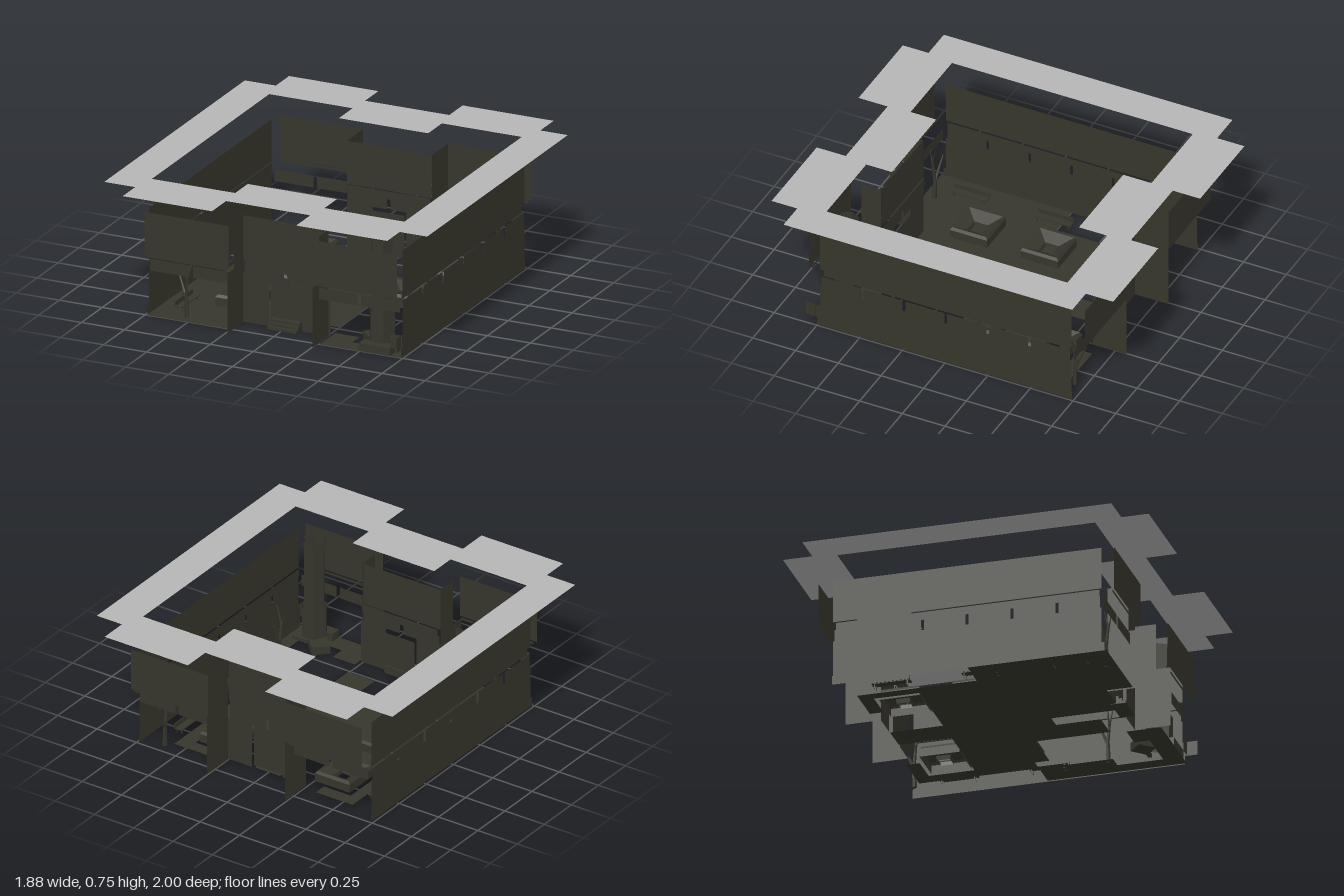
import * as THREE from 'three';

export function createModel() {
  const root = new THREE.Group();
  root.name = 'courtyardBuilding';
  const wallMat = new THREE.MeshStandardMaterial({ color: 0x37362c, side: THREE.DoubleSide, flatShading: true });
  wallMat.name = 'darkTimber';
  const roofMat = new THREE.MeshStandardMaterial({ color: 0xb6b6b6, side: THREE.DoubleSide });
  roofMat.name = 'paleRoof';

  const add = (name, geo, mat = wallMat, parent = root) => {
    const m = new THREE.Mesh(geo, mat);
    m.name = name;
    parent.add(m);
    return m;
  };
  // Thin sheets: facing z, facing x, and lying flat
  const sheetZ = (name, x0, x1, y0, y1, z) => {
    const m = add(name, new THREE.PlaneGeometry(x1 - x0, y1 - y0));
    m.position.set((x0 + x1) / 2, (y0 + y1) / 2, z);
    if (z < 0) m.rotation.y = Math.PI;
  };
  const sheetX = (name, z0, z1, y0, y1, x) => {
    const m = add(name, new THREE.PlaneGeometry(Math.abs(z1 - z0), y1 - y0));
    m.position.set(x, (y0 + y1) / 2, (z0 + z1) / 2);
    m.rotation.y = x < 0 ? -Math.PI / 2 : Math.PI / 2;
  };
  const sheetY = (name, x0, x1, z0, z1, y) => {
    const m = add(name, new THREE.PlaneGeometry(x1 - x0, z1 - z0));
    m.position.set((x0 + x1) / 2, y, (z0 + z1) / 2);
    m.rotation.x = -Math.PI / 2;
  };
  const box = (name, x0, x1, y0, y1, z0, z1) => {
    const m = add(name, new THREE.BoxGeometry(x1 - x0, y1 - y0, z1 - z0));
    m.position.set((x0 + x1) / 2, (y0 + y1) / 2, (z0 + z1) / 2);
    return m;
  };

  // Flat eaves ring with stepped outer and inner outlines
  const pts = (list) => list.map(([x, z]) => new THREE.Vector2(x, -z));
  const eaves = new THREE.Shape(pts([
    [-0.94, -0.84], [-0.76, -0.84], [-0.76, -1], [-0.24, -1], [-0.24, -0.84], [0.25, -0.84],
    [0.25, -1], [0.78, -1], [0.78, -0.84], [0.94, -0.84], [0.94, 0.85], [0.78, 0.85],
    [0.78, 1], [0.25, 1], [0.25, 0.83], [-0.24, 0.83], [-0.24, 1], [-0.76, 1], [-0.76, 0.85], [-0.94, 0.85]]));
  eaves.holes.push(new THREE.Path(pts([
    [-0.735, -0.71], [-0.25, -0.71], [-0.25, -0.545], [0.27, -0.545], [0.27, -0.71], [0.735, -0.71],
    [0.735, 0.7], [0.27, 0.7], [0.27, 0.55], [-0.25, 0.55], [-0.25, 0.7], [-0.735, 0.7]])));
  const ring = add('eavesRing', new THREE.ShapeGeometry(eaves), roofMat);
  ring.rotation.x = -Math.PI / 2;
  ring.position.y = 0.745;

  // Front and back: bays, recessed centre, returns and rail panels
  for (const [s, zb, zReturn] of [[1, 0.8, 0.735], [-1, -0.815, -0.815]]) {
    const zc = 0.62 * s;
    const zr = 0.745 * s;
    for (const [x0, x1] of [[-0.73, -0.24], [0.25, 0.74]]) {
      sheetZ('bayUpperWall', x0, x1, 0.355, 0.595, zb);
      sheetZ('bayLedge', x0 + 0.015, x1 - 0.015, 0.34, 0.355, zb - 0.01 * s);
      const mid = (x0 + x1) / 2;
      sheetZ('bayRail', x0 + 0.01, mid - 0.01, 0.25, 0.315, zr);
      sheetZ('bayRail', mid + 0.01, x1 - 0.01, 0.25, 0.315, zr);
    }
    sheetZ('centreUpperWall', -0.24, 0.25, 0.355, 0.595, zc);
    sheetZ('centreLintel', -0.23, 0.25, 0.31, 0.355, zc - 0.01 * s);
    sheetZ('centreRail', -0.235, -0.005, 0.25, 0.315, zc);
    sheetZ('centreRail', 0.015, 0.245, 0.25, 0.315, zc);
    sheetZ('centreLowerWall', -0.24, -0.09, 0, 0.25, zc);
    sheetZ('centreLowerWall', 0.105, 0.265, 0, 0.25, zc);
    sheetZ('door', -0.09, 0.105, 0, 0.238, zc - 0.02 * s);
    for (const x of [-0.24, 0.255]) {
      sheetX('upperReturn', zc, zReturn, 0.335, 0.595, x);
      sheetX('lowerReturn', zc, 0.815 * s, 0, 0.335, x);
    }
  }

  // Entrance steps
  for (let i = 0; i < 3; i++) box('step', -0.08, 0.09, i * 0.015, (i + 1) * 0.015, 0.59, 0.67 - i * 0.02);

  // Long side walls with rail panels separated by narrow gaps
  for (const x of [-0.735, 0.74]) {
    const s = Math.sign(x);
    sheetX('sideUpperWall', -0.735, 0.735, 0.36, 0.595, x);
    sheetX('sideLedge', -0.72, 0.72, 0.315, 0.36, x - 0.012 * s);
    for (let i = 0; i < 6; i++) {
      const z = -0.735 + i * 0.245;
      sheetX('sideRail', z + 0.008, z + 0.237, 0.25, 0.315, x);
    }
    sheetX('sideLowerWall', -0.735, 0.735, 0.05, 0.25, x);
    sheetX('sidePlinth', -0.74, 0.75, 0, 0.05, x);
  }

  // Floor pieces
  for (const [x0, x1, z0, z1] of [
    [-0.56, 0.575, -0.33, 0], [-0.735, 0, 0, 0.62], [-0.735, -0.25, 0.62, 0.76],
    [-0.56, -0.5, -0.655, -0.33], [-0.5, -0.325, -0.655, -0.58],
    [0.5, 0.575, -0.655, -0.33], [0.335, 0.5, -0.655, -0.58],
    [-0.075, 0.085, -0.62, -0.33], [0, 0.5, 0, 0.08], [0, 0.25, 0.08, 0.24], [0.085, 0.25, 0.24, 0.485],
    [0.575, 0.735, 0, 0.405], [0.655, 0.735, 0.405, 0.76], [0.27, 0.41, 0.57, 0.76], [0.41, 0.655, 0.655, 0.76],
  ]) sheetY('floor', x0, x1, z0, z1, 0.003);

  // Sunken square hearths with sloping sides and an open middle
  const profile = [[0.11, 0.004], [0.11, 0.05], [0.1, 0.065], [0.04, 0.03], [0.035, 0.006]]
    .map(([r, y]) => new THREE.Vector2(r * Math.SQRT2, y));
  for (const [x, z] of [[-0.365, -0.45], [0.37, -0.45], [-0.365, -0.05], [0.37, -0.05], [-0.365, 0.365]]) {
    const geo = new THREE.LatheGeometry(profile, 4);
    geo.rotateY(Math.PI / 4);
    add('hearth', geo).position.set(x, 0, z);
  }

  // Slim benches along the sides
  for (const [x, z] of [[-0.61, -0.45], [-0.61, 0.04], [-0.61, 0.53], [0.62, -0.45], [0.62, 0.04]]) {
    const s = Math.sign(x);
    box('benchSeat', x - 0.022, x + 0.022, 0.024, 0.029, z - 0.105, z + 0.105);
    box('benchBack', x + s * 0.022 - 0.003, x + s * 0.022 + 0.003, 0.028, 0.055, z - 0.105, z + 0.105);
    for (const dx of [-0.015, 0.015]) for (const dz of [-0.09, 0.09])
      box('benchLeg', x + dx - 0.002, x + dx + 0.002, 0, 0.025, z + dz - 0.003, z + dz + 0.003);
  }

  // Bare trees
  const branches = [
    [[0, 0, 0], [-0.005, 0.12, 0], 0.013, 0.011],
    [[-0.005, 0.11, 0], [-0.06, 0.25, -0.02], 0.01, 0.004],
    [[-0.005, 0.11, 0], [0.005, 0.24, 0.01], 0.01, 0.007],
    [[0.005, 0.23, 0.01], [0.03, 0.335, -0.02], 0.007, 0.002],
    [[0.002, 0.2, 0.008], [-0.01, 0.3, 0.03], 0.006, 0.002],
  ];
  for (const [x, z, turn] of [[-0.53, 0.7, 0], [0.61, -0.69, -1.1], [0.61, 0.37, -1.1]]) {
    const tree = new THREE.Group();
    tree.name = 'tree';
    tree.position.set(x, 0, z);
    tree.rotation.y = turn;
    root.add(tree);
    for (const [a, b, r0, r1] of branches) {
      const p = new THREE.Vector3(...a), q = new THREE.Vector3(...b), d = q.clone().sub(p);
      const m = add('branch', new THREE.CylinderGeometry(r1, r0, d.length(), 5), wallMat, tree);
      m.position.copy(p).add(q).multiplyScalar(0.5);
      m.quaternion.setFromUnitVectors(new THREE.Vector3(0, 1, 0), d.normalize());
    }
  }

  // Open six-sided chimney with a wider base and collar
  for (const [name, r, y0, y1] of [['chimneyShaft', 0.06, 0.2, 0.6], ['chimneyBase', 0.073, 0.04, 0.22], ['chimneyCollar', 0.066, 0.595, 0.615]]) {
    const m = add(name, new THREE.CylinderGeometry(r, r, y1 - y0, 6, 1, true, Math.PI / 6));
    m.position.set(0.585, (y0 + y1) / 2, 0.655);
  }

  // Stove corner: counter, side panels, low shelf and turned stool
  box('counter', 0.5, 0.68, 0.004, 0.05, 0.7, 0.76);
  sheetX('cornerPanel', 0.7, 0.815, 0.05, 0.13, 0.745);
  sheetZ('cornerPanel', 0.68, 0.75, 0.05, 0.13, 0.76);
  box('shelf', 0.57, 0.67, 0.03, 0.05, 0.57, 0.59);
  const stool = box('stool', 0.46, 0.56, 0.004, 0.05, 0.54, 0.64);
  stool.rotation.y = Math.PI / 4;
  return root;
}
